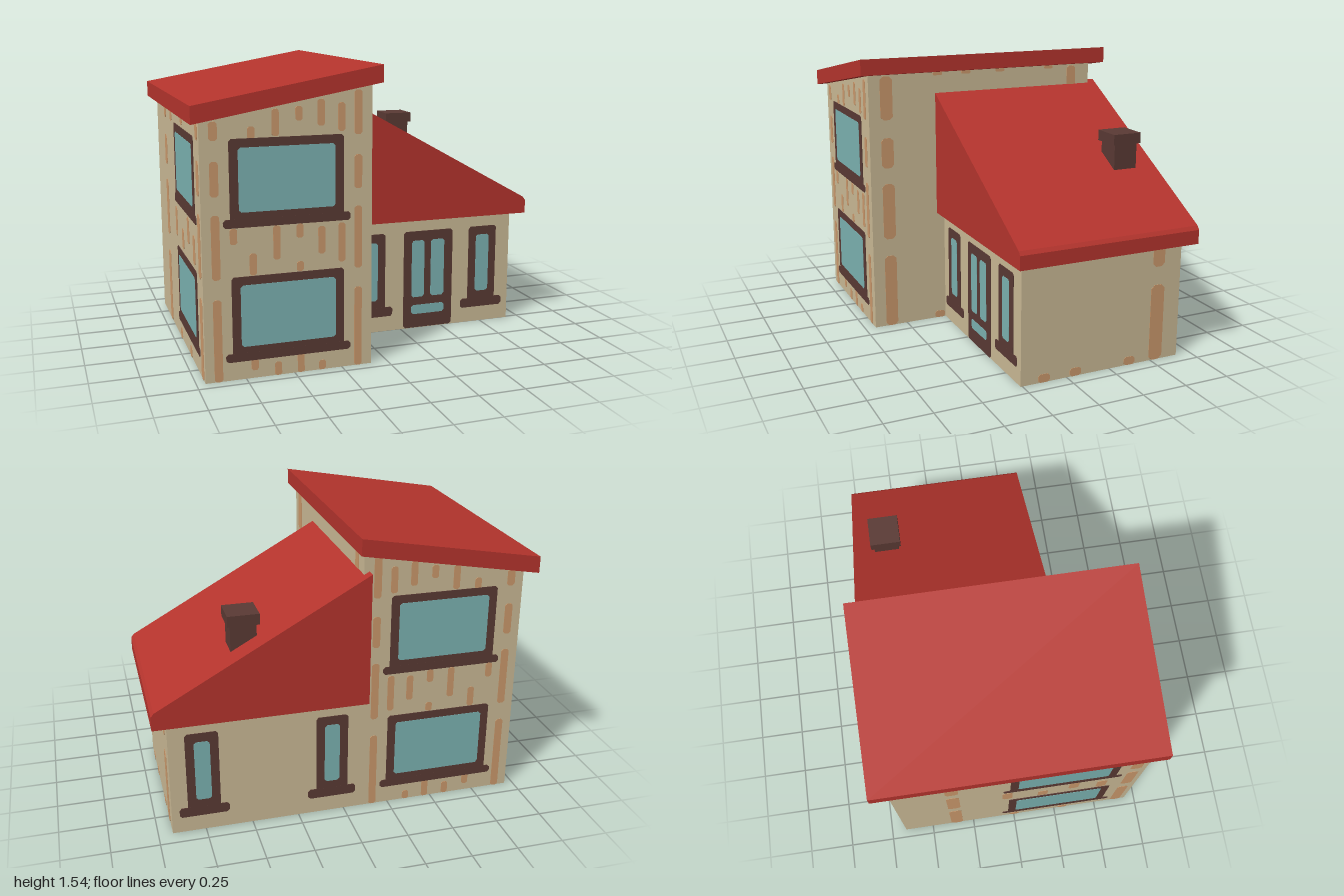
import * as THREE from 'three';

const mat = (name, color, side = THREE.FrontSide) => {
  const m = new THREE.MeshStandardMaterial({ color, side });
  m.name = name;
  return m;
};

export function createModel() {
  const wallMat = mat('plaster', 0xcbba96, THREE.DoubleSide);
  const brickMat = mat('terracotta', 0xcb996c);
  const roofMat = mat('red roof', 0xb5342d);
  const woodMat = mat('dark brown', 0x5a3a34);
  const glassMat = mat('glass', 0x7cb3b2);

  const house = new THREE.Group();
  house.name = 'house';

  const add = (parent, name, geo, m) => {
    const mesh = new THREE.Mesh(geo, m);
    mesh.name = name;
    parent.add(mesh);
    return mesh;
  };
  const poly = (pts) => new THREE.Shape(pts.map(([x, y]) => new THREE.Vector2(x, y)));

  // Thin plate with clipped corners, centred on the wall so it shows inside and out
  const plate = (parent, name, x0, x1, y0, y1, t, m, c = 0.012) => {
    const s = poly([[x0 + c, y0], [x1 - c, y0], [x1, y0 + c], [x1, y1 - c],
      [x1 - c, y1], [x0 + c, y1], [x0, y1 - c], [x0, y0 + c]]);
    const g = new THREE.ExtrudeGeometry(s, { depth: t, bevelEnabled: false });
    g.translate(0, 0, -t / 2);
    return add(parent, name, g, m);
  };
  const glass = (p, x0, x1, y0, y1) => plate(p, 'glass', x0, x1, y0, y1, 0.0098, glassMat);
  const stripe = (p, x, w, y0, y1) =>
    plate(p, 'brickPatch', x - w / 2, x + w / 2, y0, y1, 0.004, brickMat, Math.min(w, y1 - y0) * 0.25);

  // Window with a frame, wider sill and pane
  const wideWindow = (p, cx, y) => {
    plate(p, 'windowFrame', cx - 0.288, cx + 0.288, y, y + 0.433, 0.007, woodMat);
    plate(p, 'windowSill', cx - 0.323, cx + 0.323, y, y + 0.043, 0.0074, woodMat);
    glass(p, cx - 0.244, cx + 0.244, y + 0.075, y + 0.39);
  };
  const narrowWindow = (p, cx) => {
    plate(p, 'windowFrame', cx - 0.086, cx + 0.086, 0.09, 0.57, 0.007, woodMat);
    plate(p, 'windowSill', cx - 0.131, cx + 0.131, 0.088, 0.142, 0.0074, woodMat);
    glass(p, cx - 0.041, cx + 0.041, 0.184, 0.521);
  };

  // Wall facing z (offset along z), or facing x when sideways (local x becomes z)
  const wall = (name, pts, offset, sideways) => {
    const g = new THREE.Group();
    g.name = name;
    if (sideways) {
      g.rotation.y = -Math.PI / 2;
      g.position.x = offset;
    } else g.position.z = offset;
    add(g, 'wallPanel', new THREE.ShapeGeometry(poly(pts)), wallMat);
    house.add(g);
    return g;
  };

  const L = -0.955, M = -0.09, R = 0.925;        // x of the walls
  const B = -0.665, F = 0.69, AF = 0.26;         // z of the walls
  const eave = (x) => 1.287 + (x + 1) * 0.179;   // underside of the tower roof

  // Broken corner column of brick patches
  const column = (g, x, w, top) => [[0, 0.42], [0.52, 0.84], [0.93, 1.1], [1.2, top]]
    .forEach(([a, b]) => stripe(g, x, w, a, b));

  // Tower front and back
  for (const [name, z] of [['towerFront', F], ['towerBack', B]]) {
    const g = wall(name, [[L, 0], [M, 0], [M, eave(M)], [L, eave(L)]], z, false);
    wideWindow(g, -0.527, 0.772);
    wideWindow(g, -0.527, 0.094);
    column(g, -0.888, 0.042, 1.29);
    column(g, -0.163, 0.04, 1.42);
    [[-0.8, 0.69, 0.77], [-0.705, 0.53, 0.64], [-0.585, 0.6, 0.77], [-0.467, 0.7, 0.77],
      [-0.355, 0.61, 0.75], [-0.25, 0.56, 0.76], [-0.467, 0.53, 0.58],
      [-0.705, 1.2, 1.26], [-0.585, 1.21, 1.34], [-0.467, 1.28, 1.35], [-0.355, 1.25, 1.38],
      [-0.25, 1.22, 1.36], [-0.705, 0.04, 0.1], [-0.585, 0, 0.07], [-0.467, 0, 0.1],
      [-0.355, 0, 0.05]].forEach(([x, a, b]) => stripe(g, x, 0.036, a, b));
  }

  // Tower left-hand wall, windows set towards the front
  const outer = wall('towerOuterSide', [[B, 0], [F, 0], [F, eave(L)], [B, eave(L)]], L, true);
  wideWindow(outer, 0.25, 0.772);
  wideWindow(outer, 0.25, 0.094);
  column(outer, -0.35, 0.07, 1.28);
  column(outer, 0.63, 0.06, 1.28);
  [[-0.05, 0.58, 0.74], [0.15, 0.55, 0.66], [0.32, 0.62, 0.76], [0.48, 0.55, 0.7],
    [0, 0, 0.06], [0.3, 0, 0.06], [-0.15, 1.2, 1.28], [0.2, 1.22, 1.28]]
    .forEach(([z, a, b]) => stripe(outer, z, 0.055, a, b));

  // Tower inner wall, open below where the annexe joins
  const inner = wall('towerInnerSide',
    [[AF, 0], [F, 0], [F, eave(M)], [B, eave(M)], [B, 0.64], [AF, 0.64]], M, true);
  column(inner, 0.59, 0.07, 1.44);
  stripe(inner, -0.55, 0.055, 1.3, 1.44);
  [0.29, 0.12, -0.09, -0.4].forEach((z) => stripe(inner, z, 0.055, 1.43, 1.448));
  stripe(inner, 0.295, 0.06, 0, 0.04);

  // Annexe walls
  const annexeBox = [[M, 0], [R, 0], [R, 0.645], [M, 0.645]];
  const annexeFront = wall('annexeFront', annexeBox, AF, false);
  const annexeBack = wall('annexeBack', annexeBox, B, false);
  for (const g of [annexeFront, annexeBack]) {
    narrowWindow(g, 0.066);
    narrowWindow(g, 0.753);
  }
  const annexeSide = wall('annexeSide', [[B, 0], [AF, 0], [AF, 0.645], [B, 0.645]], R, true);
  stripe(annexeSide, -0.53, 0.08, 0, 0.42);
  stripe(annexeSide, -0.53, 0.07, 0.52, 0.64);
  [0.13, -0.05, -0.37].forEach((z) => stripe(annexeSide, z, 0.065, 0, 0.045));

  // Front door with two tall panes and a low one
  plate(annexeFront, 'door', 0.265, 0.564, 0.003, 0.57, 0.007, woodMat);
  glass(annexeFront, 0.313, 0.39, 0.184, 0.516);
  glass(annexeFront, 0.43, 0.512, 0.184, 0.516);
  glass(annexeFront, 0.313, 0.516, 0.083, 0.137);

  // Roofs: side profiles extruded along z
  const roof = (name, pts, z0, z1) => {
    const g = new THREE.ExtrudeGeometry(poly(pts), { depth: z1 - z0, bevelEnabled: false });
    g.translate(0, 0, z0);
    add(house, name, g, roofMat);
  };
  roof('towerRoof', [[-1, 1.285], [-0.05, 1.455], [-0.05, 1.542], [-1, 1.372]], -0.745, 0.74);
  roof('annexeRoof', [[-0.118, 0.64], [1, 0.64], [1, 0.715], [0.985, 0.735], [-0.118, 1.347]], -0.715, 0.305);

  // Chimney
  const box = (name, w, y0, y1) => add(house, name,
    new THREE.BoxGeometry(w, y1 - y0, w), woodMat).position.set(0.508, (y0 + y1) / 2, -0.525);
  box('chimneyStack', 0.135, 0.9, 1.11);
  box('chimneyCap', 0.164, 1.1, 1.157);

  return house;
}
